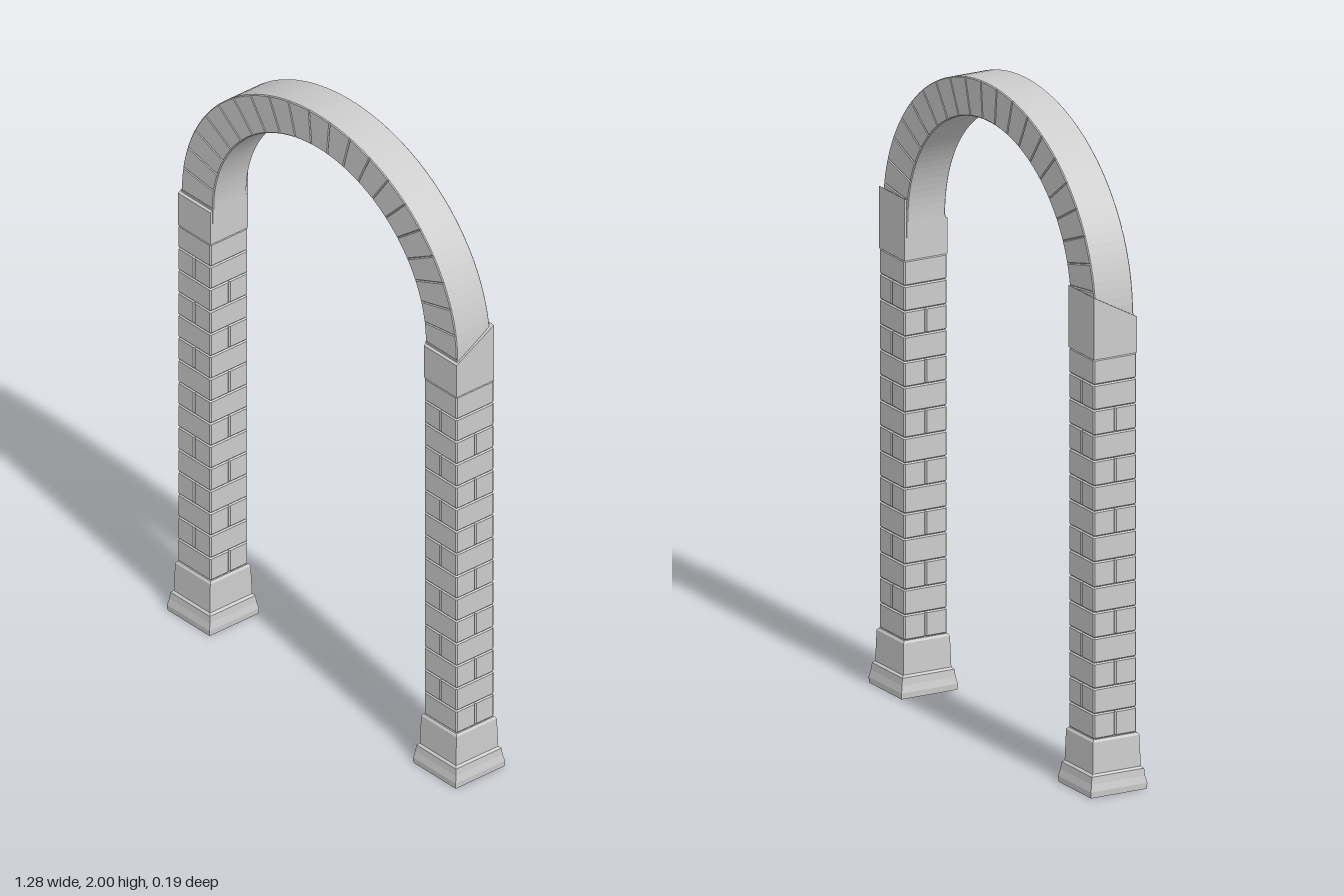
import * as THREE from 'three';

const stone = new THREE.MeshStandardMaterial({ color: 0xcccccc, flatShading: true, side: THREE.DoubleSide });

function add(parent, name, geometry, x = 0, y = 0, z = 0) {
  const mesh = new THREE.Mesh(geometry, stone);
  mesh.name = name;
  mesh.position.set(x, y, z);
  parent.add(mesh);
  return mesh;
}

// Extrudes a shape along z, centred, with a chamfer that stays inside the outline
function chamferedExtrude(shape, depth, c) {
  const g = new THREE.ExtrudeGeometry(shape, {
    depth: depth - 2 * c, bevelEnabled: true, bevelThickness: c,
    bevelSize: c, bevelOffset: -c, bevelSegments: 1, curveSegments: 1,
  });
  return g.translate(0, 0, c - depth / 2);
}

// Box with all edges chamfered
function brickGeometry(w, h, d, c = 0.004) {
  const a = w / 2, b = d / 2;
  const corners = [[a - c, -b], [a, c - b], [a, b - c], [a - c, b], [c - a, b], [-a, b - c], [-a, c - b], [c - a, -b]];
  const shape = new THREE.Shape(corners.map(([x, y]) => new THREE.Vector2(x, y)));
  return chamferedExtrude(shape, h, c).rotateX(-Math.PI / 2);
}

const COLUMN_X = 0.547, WIDTH = 0.145;
const BASE_TOP = 0.17, SHAFT_TOP = 1.33, COURSES = 15;

function createColumn(name, x) {
  const column = new THREE.Group();
  column.name = name;
  column.position.x = x;

  // Square moulded base
  const profile = [[0, 0], [0.094, 0], [0.095, 0.018], [0.09, 0.04], [0.088, 0.062],
    [0.081, 0.068], [0.078, 0.163], [0.073, 0.17], [0, 0.17]];
  const base = new THREE.LatheGeometry(profile.map(([r, y]) => new THREE.Vector2(r * Math.SQRT2, y)), 4);
  add(column, 'base', base.rotateY(Math.PI / 4));

  // Brick courses, the joint turning a quarter every course
  const h = (SHAFT_TOP - BASE_TOP) / COURSES;
  for (let i = 0; i < COURSES; i++) {
    const y = BASE_TOP + (i + 0.5) * h;
    if (i === COURSES - 1) {
      add(column, 'topCourse', brickGeometry(WIDTH, h, WIDTH), 0, y, 0);
      continue;
    }
    for (const s of [-1, 1]) {
      const o = s * WIDTH / 4;
      if (i % 2) add(column, 'brick', brickGeometry(WIDTH / 2, h, WIDTH), o, y, 0);
      else add(column, 'brick', brickGeometry(WIDTH, h, WIDTH / 2), 0, y, o);
    }
  }

  // Cap block, its top sloping up toward the back
  const cap = new THREE.BoxGeometry(WIDTH, 1, WIDTH);
  const p = cap.attributes.position;
  for (let i = 0; i < p.count; i++) {
    p.setY(i, p.getY(i) < 0 ? SHAFT_TOP : p.getZ(i) > 0 ? 1.44 : 1.52);
  }
  add(column, 'capBlock', cap);
  return column;
}

const SPRING = 1.45, DEPTH = 0.13;
const OUTER = [0.613, 0.55], INNER = [0.472, 0.435];

function createArch() {
  const arch = new THREE.Group();
  arch.name = 'arch';
  const at = ([a, b], t) => new THREE.Vector2(a * Math.cos(t), SPRING + b * Math.sin(t));

  // Wedge stones following the elliptical ring
  const count = 21, steps = 3;
  for (let i = 0; i < count; i++) {
    const pts = [];
    for (let k = 0; k <= steps; k++) pts.push(at(OUTER, Math.PI * (i + k / steps) / count));
    for (let k = steps; k >= 0; k--) pts.push(at(INNER, Math.PI * (i + k / steps) / count));
    add(arch, 'archStone', chamferedExtrude(new THREE.Shape(pts), DEPTH, 0.003));
  }

  // Straight feet set into the cap blocks
  const w = OUTER[0] - INNER[0];
  for (const s of [-1, 1]) {
    add(arch, 'archFoot', new THREE.BoxGeometry(w, 0.05, DEPTH), s * (INNER[0] + w / 2), SPRING - 0.025, 0);
  }
  return arch;
}

export function createModel() {
  const model = new THREE.Group();
  model.name = 'brickArchway';
  model.add(createColumn('leftColumn', COLUMN_X), createColumn('rightColumn', -COLUMN_X), createArch());
  return model;
}
